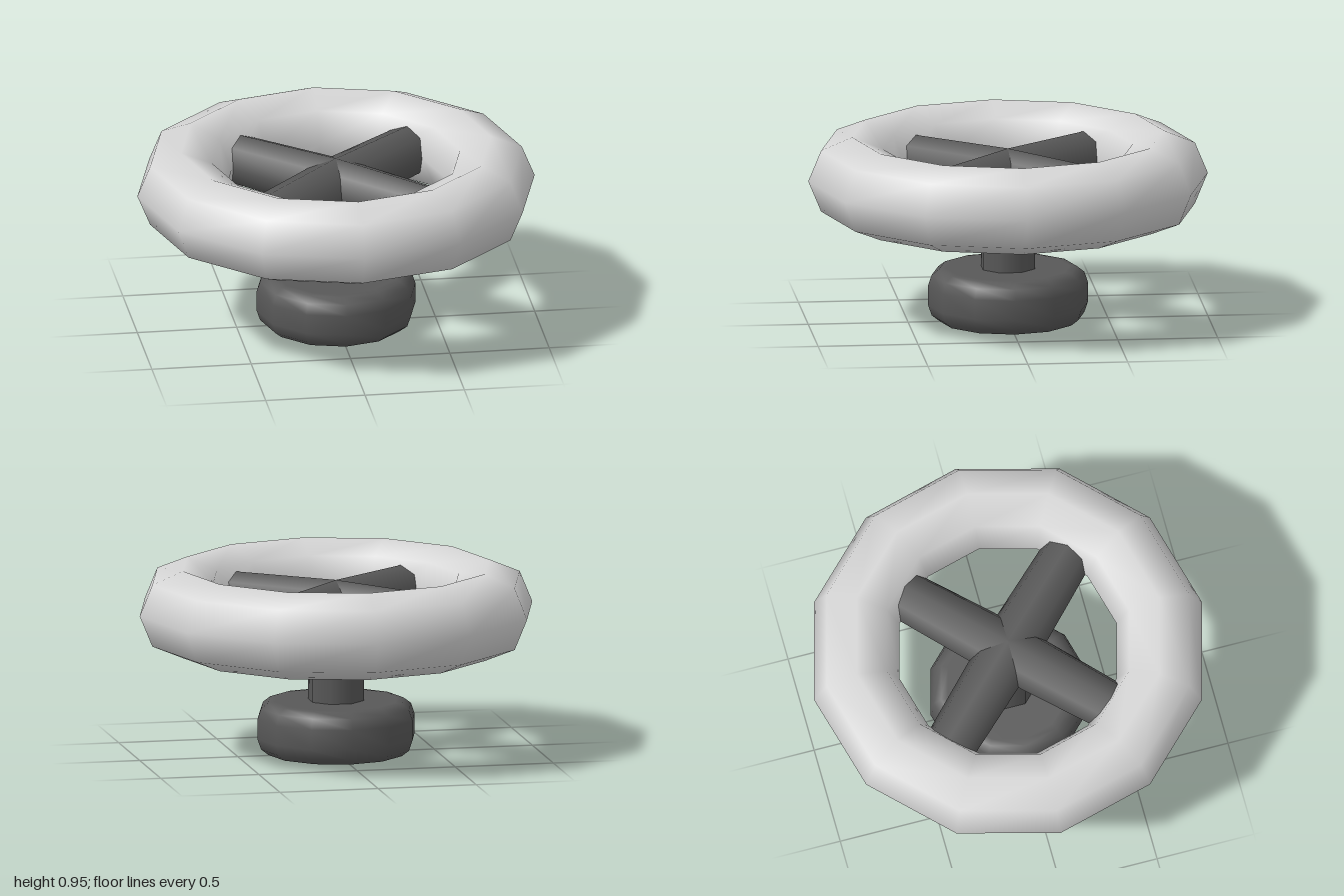
import * as THREE from 'three';

export function createModel() {
  const model = new THREE.Group();
  model.name = 'handwheel';

  const lightGrey = new THREE.MeshStandardMaterial({ color: 0xd6d6d6 });
  lightGrey.name = 'light grey';
  const darkGrey = new THREE.MeshStandardMaterial({ color: 0x585858 });
  darkGrey.name = 'dark grey';

  const add = (name, geometry, material, y = 0) => {
    const mesh = new THREE.Mesh(geometry, material);
    mesh.name = name;
    mesh.position.y = y;
    model.add(mesh);
    return mesh;
  };

  // Thick twelve-sided rim with an octagonal section
  const wheelY = 0.73;
  add('rim', new THREE.TorusGeometry(0.78, 0.22, 8, 12).rotateX(Math.PI / 2), lightGrey, wheelY);

  // Four diagonal spokes, slightly thicker at the hub and buried in the rim
  const spokeLength = 0.72;
  for (let i = 0; i < 4; i++) {
    const spoke = new THREE.CylinderGeometry(0.126, 0.146, spokeLength, 8);
    spoke.translate(0, spokeLength / 2, 0).rotateZ(-Math.PI / 2);
    add('spoke' + (i + 1), spoke, darkGrey, wheelY).rotation.y = Math.PI / 4 + (i * Math.PI) / 2;
  }

  // Short post from the base up into the hub
  const post = new THREE.CylinderGeometry(0.141, 0.141, 0.5, 8).rotateY(Math.PI / 8);
  add('post', post, darkGrey, 0.48);

  // Twelve-sided base with rounded edges
  const profile = [
    [0, 0], [0.31, 0], [0.345, 0.003], [0.382, 0.032], [0.4, 0.085],
    [0.4, 0.185], [0.382, 0.238], [0.345, 0.267], [0.31, 0.27], [0, 0.27],
  ].map(([r, y]) => new THREE.Vector2(r, y));
  add('base', new THREE.LatheGeometry(profile, 12), darkGrey);

  return model;
}
